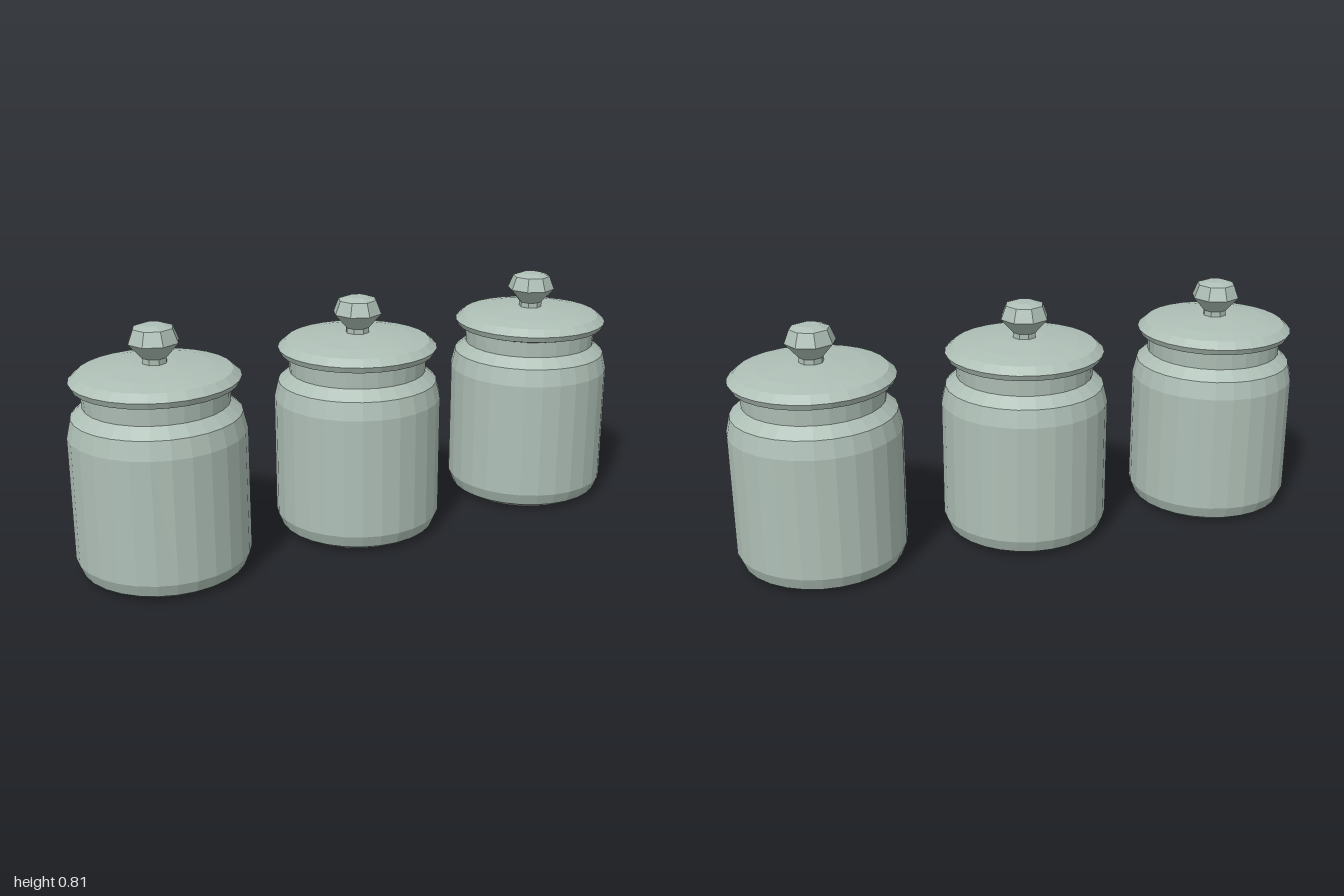
import * as THREE from 'three';

const glaze = new THREE.MeshStandardMaterial({ color: 0xaebfb6 });
glaze.name = 'sage glaze';

// Faceted turned part from a [radius, y] profile listed bottom to top
function turned(name, profile, sides) {
  const points = profile.map(([r, y]) => new THREE.Vector2(r, y));
  const geometry = new THREE.LatheGeometry(points, sides).toNonIndexed();
  geometry.computeVertexNormals();
  const mesh = new THREE.Mesh(geometry, glaze);
  mesh.name = name;
  return mesh;
}

// Jar: chamfered foot, straight wall, sloped shoulder, narrow neck
const bodyProfile = [
  [0, 0], [0.232, 0], [0.265, 0.02], [0.282, 0.062], [0.282, 0.468],
  [0.268, 0.527], [0.23, 0.56], [0.233, 0.616],
];

// Lid: overhanging rim and shallow dome
const lidProfile = [
  [0, 0.614], [0.232, 0.614], [0.258, 0.622], [0.268, 0.642], [0.242, 0.665],
  [0.18, 0.677], [0.07, 0.688], [0, 0.689],
];

// Knob: short stem flaring into a faceted grip
const knobProfile = [
  [0.04, 0.685], [0.04, 0.706], [0.083, 0.755], [0.065, 0.8], [0.036, 0.81], [0, 0.81],
];

function canister(name) {
  const jar = new THREE.Group();
  jar.name = name;
  jar.add(
    turned('jarBody', bodyProfile, 28),
    turned('lid', lidProfile, 28),
    turned('lidKnob', knobProfile, 8),
  );
  return jar;
}

export function createModel() {
  const model = new THREE.Group();
  model.name = 'canisterSet';
  ['rightCanister', 'middleCanister', 'leftCanister'].forEach((name, i) => {
    const jar = canister(name);
    jar.position.x = (i - 1) * 0.718;
    model.add(jar);
  });
  return model;
}
